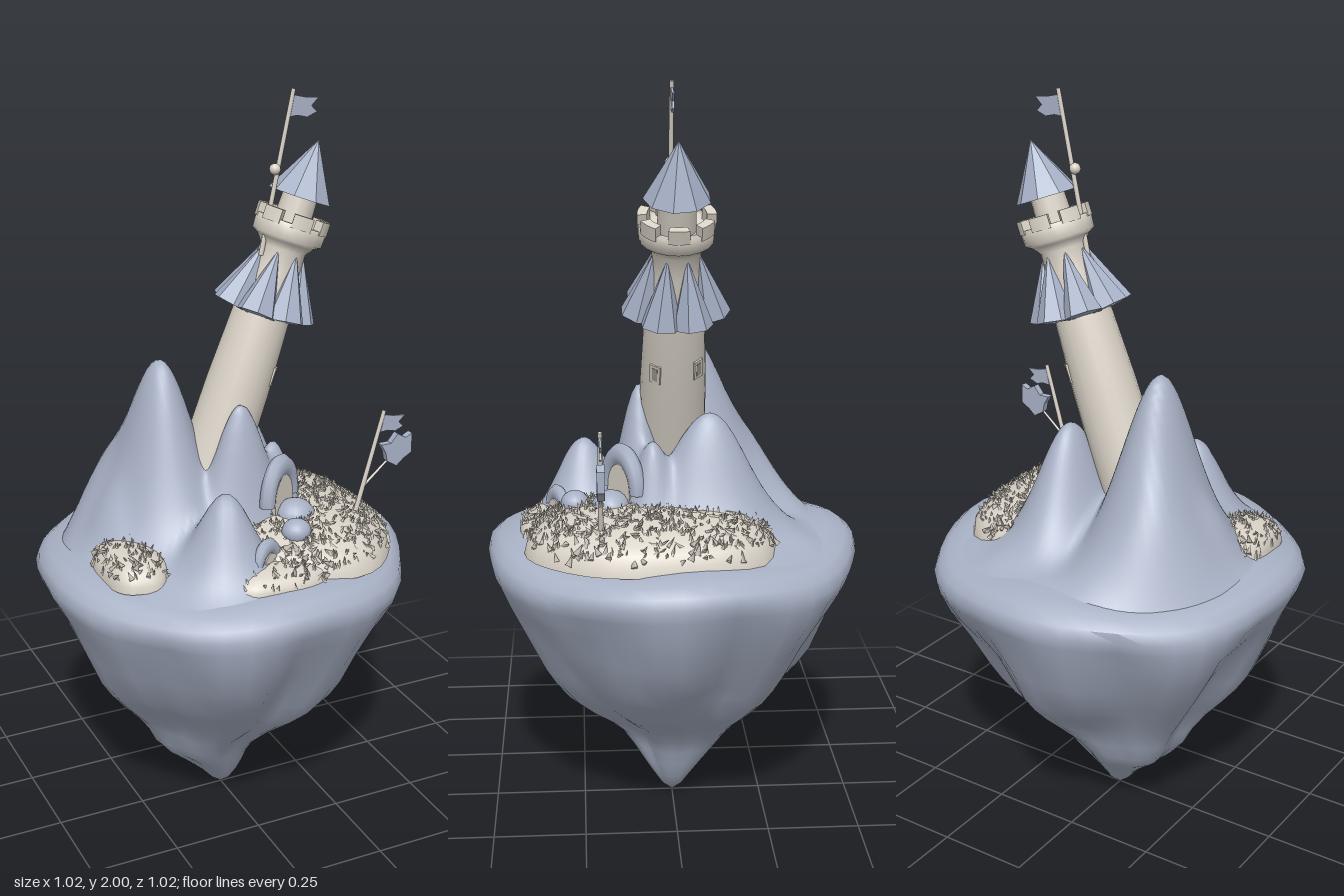
import * as THREE from 'three';
import { mergeVertices, mergeGeometries, toCreasedNormals } from 'three/addons/utils/BufferGeometryUtils.js';

const mat = (name, color, side = THREE.FrontSide) => {
  const m = new THREE.MeshStandardMaterial({ color, side });
  m.name = name;
  return m;
};
const V2 = (x, y) => new THREE.Vector2(x, y);
const V3 = (x, y, z) => new THREE.Vector3(x, y, z);

export function createModel() {
  const rock = mat('blue grey rock', 0xa9b2c6);
  const slate = mat('blue grey slate', 0xa7b1c7, THREE.DoubleSide);
  const stone = mat('pale stone', 0xd8d1c6, THREE.DoubleSide);
  const shade = mat('window grey', 0xa09c95);
  const model = new THREE.Group();

  let seed = 7;
  const rnd = () => (seed = (seed * 16807) % 2147483647) / 2147483647;

  const add = (parent, name, geo, material, x = 0, y = 0, z = 0) => {
    const m = new THREE.Mesh(geo, material);
    m.name = name;
    m.position.set(x, y, z);
    parent.add(m);
    return m;
  };

  // Turned body whose points are then moved by warp(point, angle)
  const blob = (profile, segments, warp, crease) => {
    let g = new THREE.LatheGeometry(profile, segments);
    g.deleteAttribute('uv');
    g.deleteAttribute('normal');
    g = mergeVertices(g, 1e-4);
    const p = g.attributes.position, v = V3(0, 0, 0);
    for (let i = 0; i < p.count; i++) {
      v.fromBufferAttribute(p, i);
      warp(v, Math.atan2(v.z, v.x));
      p.setXYZ(i, v.x, v.y, v.z);
    }
    g.computeVertexNormals();
    return crease ? toCreasedNormals(g, crease) : g;
  };

  // Floating island: ridged cone with a shouldered tip and a rounded rim, closed by the terrain
  const islandProfile = [[0, 0], [0.03, 0.025], [0.06, 0.065], [0.095, 0.11], [0.13, 0.155], [0.16, 0.2], [0.195, 0.25],
    [0.24, 0.3], [0.285, 0.35], [0.325, 0.4], [0.362, 0.45], [0.422, 0.55], [0.468, 0.64], [0.497, 0.7], [0.508, 0.735],
    [0.5, 0.765], [0.475, 0.787], [0.43, 0.8], [0.38, 0.804]].map(([r, y]) => V2(r, y));
  add(model, 'island', blob(islandProfile, 44, (v, a) => {
    const amp = Math.sin(Math.PI * Math.min(1, v.y / 0.76));
    const fold = n => Math.abs(Math.sin(n)) - 0.6;
    const k = 1 + amp * (0.13 * fold(a * 3.5 + 0.5 + v.y) + 0.06 * fold(a * 5 - v.y * 2.5) + 0.03 * Math.sin(a * 3 + v.y * 14))
      + 0.008 * Math.sin(a * 7 + 1);
    const low = Math.exp(-(((v.y - 0.19) / 0.09) ** 2));
    v.x = v.x * k - 0.045 * low;
    v.z = v.z * k - 0.015 * low;
    if (v.y > 0.6) v.y += 0.01 * Math.sin(a * 4 + 2) * Math.min(1, Math.hypot(v.x, v.z) / 0.4);
  }, 0.8), rock);

  // Terrain: blended hills given as x, z, spread x, spread z, height
  const hills = [
    [-0.155, -0.05, 0.125, 0.16, 0.5], // main peak
    [-0.21, -0.16, 0.15, 0.16, 0.26], // rear shoulder
    [-0.29, -0.03, 0.085, 0.11, 0.15], // left foothill
    [0.1, -0.09, 0.105, 0.15, 0.33], // right hill
    [0.015, 0.09, 0.11, 0.075, 0.39], // tower foot
    [0.13, 0.06, 0.07, 0.07, 0.26], // spur by the tower
    [-0.1, 0.24, 0.095, 0.1, 0.22], // front hill
  ];
  const terrainHeight = (x, z) => Math.pow(hills.reduce((sum, [hx, hz, sx, sz, h]) =>
    sum + (h * Math.exp(-(((x - hx) / sx) ** 2) - ((z - hz) / sz) ** 2)) ** 4, 0), 0.25);
  const disc = Array.from({ length: 37 }, (_, i) => V2(0.44 * (1 - i / 36), 0));
  add(model, 'terrain', blob(disc, 90, v => {
    const t = Math.hypot(v.x, v.z) / 0.44;
    const ripple = 0.004 * Math.sin(v.x * 31 + v.z * 12) * Math.sin(v.z * 27 - v.x * 9);
    v.y = 0.813 - 0.025 * t ** 8 + (terrainHeight(v.x, v.z) + ripple) * (1 - t ** 10);
  }), rock);

  // Cave mouths: tall rock arch with a pale back wall
  const cave = (x, y, z, r, turn) => {
    const g = new THREE.Group();
    g.name = 'cave';
    g.position.set(x, y, z);
    g.rotation.y = turn;
    g.scale.y = 1.45;
    const back = add(g, 'caveWall', new THREE.CylinderGeometry(r, r, 0.08, 16), stone, 0, 0, -0.035);
    back.rotation.x = Math.PI / 2;
    add(g, 'caveArch', new THREE.TorusGeometry(r * 1.3, r * 0.45, 8, 18, Math.PI), rock, 0, 0, -0.01);
    model.add(g);
  };
  cave(0.115, 0.94, 0.145, 0.05, 0.6);
  cave(-0.01, 0.83, 0.32, 0.035, 0.5);

  // Boulders
  [[0.14, 0.9, 0.17, 0.055], [0.095, 0.9, 0.265, 0.04]].forEach(([x, y, z, r]) =>
    add(model, 'boulder', new THREE.SphereGeometry(r, 16, 12), rock, x, y, z).scale.set(1, 0.85, 0.95));

  // Grassy mounds with scattered tufts
  const mound = (x, z, rx, rz, h, tufts) => {
    const edge = a => Math.pow(Math.abs(Math.cos(a)) ** 2.5 + Math.abs(Math.sin(a)) ** 2.5, -0.4);
    const height = t => h * Math.sqrt(Math.max(0, 1 - t ** 3));
    const prof = [1, 0.98, 0.93, 0.85, 0.7, 0.5, 0.25, 0].map(t => V2(t, height(t)));
    const y = 0.8;
    add(model, 'grassMound', blob(prof, 36, (v, a) => {
      const k = edge(a) * (1 + 0.02 * Math.sin(a * 6));
      v.x *= rx * k;
      v.z *= rz * k;
    }), stone, x, y, z);
    const blades = [];
    for (let i = 0; i < tufts; i++) {
      const a = rnd() * Math.PI * 2, t = Math.sqrt(rnd()) * 0.97;
      const g = new THREE.ConeGeometry(0.006 + rnd() * 0.005, 0.022 + rnd() * 0.012, 3);
      g.rotateZ((rnd() - 0.5) * 2.4);
      g.rotateY(rnd() * 6.28);
      g.translate(Math.cos(a) * rx * edge(a) * t, height(t) + 0.001, Math.sin(a) * rz * edge(a) * t);
      blades.push(g);
    }
    add(model, 'grassTufts', mergeGeometries(blades), stone, x, y, z);
  };
  mound(0.16, 0.06, 0.26, 0.335, 0.115, 1100);
  mound(0.01, 0.32, 0.15, 0.095, 0.055, 140);
  mound(-0.315, 0.12, 0.09, 0.135, 0.075, 160);

  // Leaning tower
  const tower = new THREE.Group();
  tower.name = 'tower';
  tower.position.set(-0.052, 0.95, 0);
  tower.rotation.z = -0.349;
  model.add(tower);
  add(tower, 'towerShaft', new THREE.LatheGeometry([[0.092, 0], [0.087, 0.3], [0.078, 0.5], [0.064, 0.62], [0.062, 0.68],
    [0.078, 0.7], [0.095, 0.71], [0.097, 0.752], [0.076, 0.752], [0.073, 0.735], [0, 0.735]].map(([r, y]) => V2(r, y)), 20), stone);

  // Battlement
  const half = 0.28;
  const sector = new THREE.Shape().absarc(0, 0, 0.099, -half, half, false).absarc(0, 0, 0.074, half, -half, true);
  const merlon = new THREE.ExtrudeGeometry(sector, { depth: 0.036, bevelEnabled: false, curveSegments: 4 });
  merlon.rotateX(-Math.PI / 2);
  for (let i = 0; i < 7; i++) add(tower, 'merlon', merlon, stone, 0, 0.742, 0).rotation.y = (i * Math.PI * 2) / 7;

  // Top turret and its pointed roof
  add(tower, 'topTurret', new THREE.CylinderGeometry(0.046, 0.05, 0.1, 12), stone, 0, 0.785, 0);
  const roof = new THREE.LatheGeometry([V2(0, 0.838), V2(0.086, 0.82), V2(0.045, 0.892), V2(0, 0.972)], 9).toNonIndexed();
  roof.computeVertexNormals();
  add(tower, 'topRoof', roof, slate);

  // Skirt of small pointed roofs round the shaft
  const gable = new THREE.ConeGeometry(0.054, 0.18, 7).toNonIndexed();
  gable.computeVertexNormals();
  for (let i = 0; i < 7; i++) {
    const arm = new THREE.Group();
    arm.name = 'skirtRoof';
    arm.rotation.y = ((i + 1) * Math.PI * 2) / 7 + 0.45;
    add(arm, 'skirtCone', gable, slate, 0.074, 0.592, 0).rotation.z = 0.2;
    tower.add(arm);
  }

  // Windows: frame and thin pane
  [[0.8, 0.36], [-0.65, 0.35]].forEach(([a, y]) => {
    const arm = new THREE.Group();
    arm.name = 'window';
    arm.rotation.y = a;
    add(arm, 'windowFrame', new THREE.BoxGeometry(0.012, 0.052, 0.032), stone, 0.081, y, 0);
    add(arm, 'windowPane', new THREE.BoxGeometry(0.004, 0.036, 0.016), shade, 0.086, y, 0);
    tower.add(arm);
  });

  // Flags: pole between two points with a swallow-tailed pennant
  const pole = (from, to, r) => {
    const d = to.clone().sub(from);
    const m = add(model, 'flagPole', new THREE.CylinderGeometry(r * 0.8, r, d.length(), 8), stone);
    m.position.copy(from).addScaledVector(d, 0.5);
    m.quaternion.setFromUnitVectors(V3(0, 1, 0), d.normalize());
  };
  const plate = (name, pts, depth, x, y, z) =>
    add(model, name, new THREE.ExtrudeGeometry(new THREE.Shape(pts.map(([a, b]) => V2(a, b))),
      { depth, bevelEnabled: false }), slate, x, y, z - depth / 2);
  const pennant = (x, y, z, s) => plate('pennant', [[0, 0], [0.3 * s, 0.03 * s], [0.65 * s, -0.05 * s], [1 * s, 0.1 * s],
    [0.8 * s, 0.3 * s], [1.05 * s, 0.55 * s], [0.6 * s, 0.58 * s], [0.15 * s, 0.68 * s]], 0.006, x, y, z);
  pole(V3(0.11, 1.58, 0.012), V3(0.198, 2, 0.012), 0.007);
  add(model, 'poleBall', new THREE.SphereGeometry(0.015, 12, 10), stone, 0.148, 1.8, 0.012);
  pennant(0.185, 1.93, 0.012, 0.08);
  pole(V3(0.31, 0.89, 0.2), V3(0.388, 1.17, 0.2), 0.007);
  pole(V3(0.33, 0.96, 0.2), V3(0.41, 1.03, 0.2), 0.004);
  pennant(0.378, 1.11, 0.2, 0.07);

  // Horned hanging shield
  plate('hangingShield', [[-0.05, 0.02], [-0.035, -0.005], [-0.03, -0.03], [0, -0.048], [0.02, -0.03], [0.045, -0.015],
    [0.045, 0.04], [0.025, 0.03], [0, 0.045], [-0.02, 0.02]], 0.02, 0.428, 1.055, 0.2);

  return model;
}
